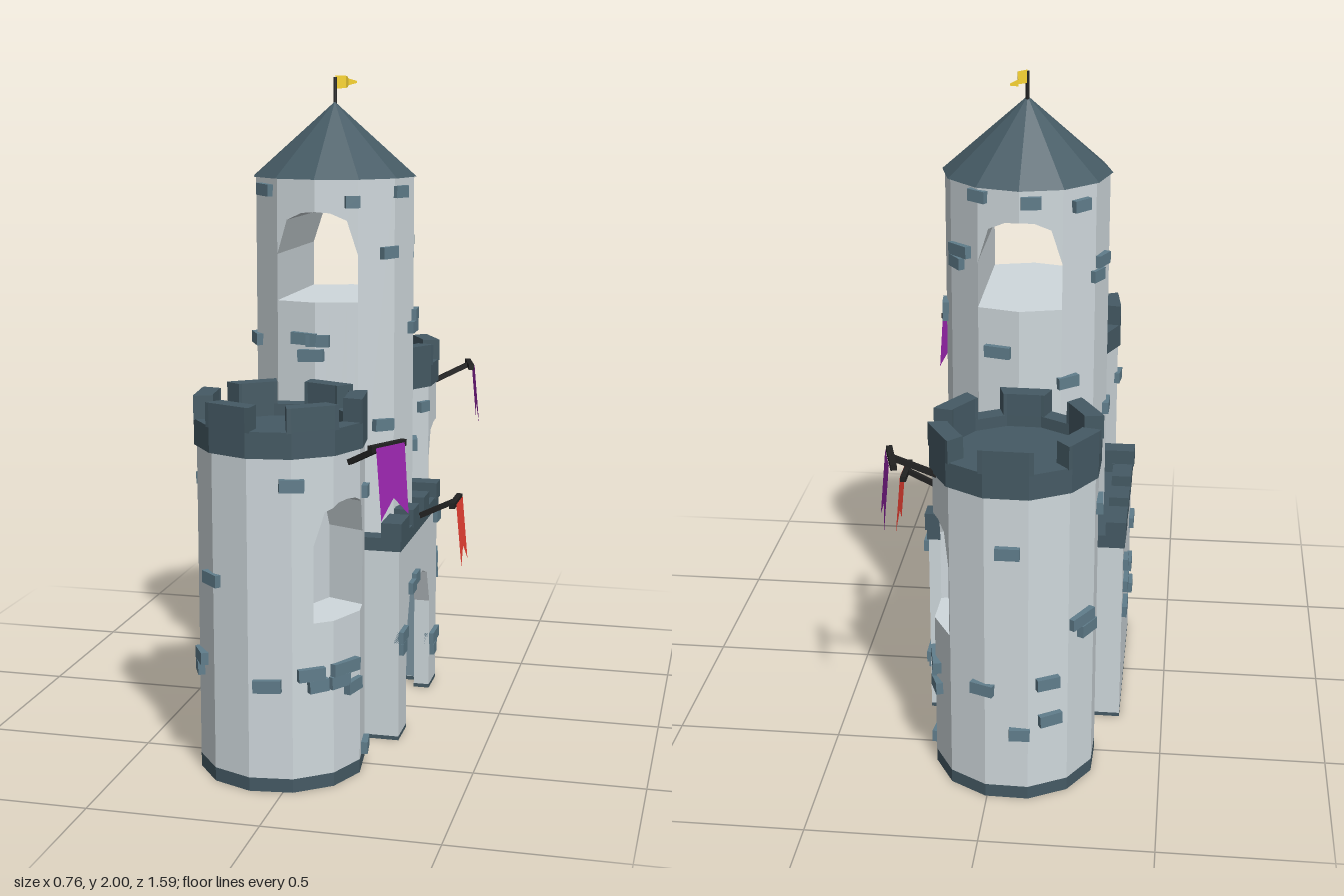
import * as THREE from 'three';

const mat = (color) => new THREE.MeshStandardMaterial({ color, flatShading: true, side: THREE.DoubleSide });
const STONE = mat(0xcfd8dc), DARK = mat(0x455a64), BRICK = mat(0x607d8b), INSIDE = mat(0x78909c);
const POLE = mat(0x212121), PURPLE = mat(0x9c27b0), RED = mat(0xf44336), YELLOW = mat(0xfdd835);
const RAD = Math.PI / 180;
// Half arch outline: fraction of half width, fraction of arch height
const ARCH = [[0, 1], [0.35, 0.97], [0.74, 0.8], [1, 0]];

function add(parent, name, geometry, material, x = 0, y = 0, z = 0) {
  const mesh = new THREE.Mesh(geometry, material);
  mesh.name = name;
  mesh.position.set(x, y, z);
  parent.add(mesh);
  return mesh;
}

// Plan shape raised along y; plan points are [x, z]
function slab(points, height, holePoints) {
  const toV = (p) => new THREE.Vector2(p[0], -p[1]);
  const shape = new THREE.Shape(points.map(toV));
  if (holePoints) shape.holes.push(new THREE.Path(holePoints.map(toV)));
  return new THREE.ExtrudeGeometry(shape, { depth: height, bevelEnabled: false }).rotateX(-Math.PI / 2);
}

const ringPoint = (r, deg) => [r * Math.sin(deg * RAD), r * Math.cos(deg * RAD)];
const polygon = (r, phase) => Array.from({ length: 12 }, (_, i) => ringPoint(r, phase + i * 30));

// Twelve-sided wall with an arched opening facing local +z (and -z if through)
function wallGeometry(r, phase, y0, y1, { w, sill, spring, top, inner, through }) {
  const archY = (x) => {
    const f = Math.min(Math.abs(x) / w, 1);
    const i = f <= ARCH[1][0] ? 0 : f <= ARCH[2][0] ? 1 : 2;
    const [a, b] = [ARCH[i], ARCH[i + 1]];
    return spring + (top - spring) * THREE.MathUtils.mapLinear(f, a[0], b[0], a[1], b[1]);
  };
  const cuts = ARCH.flatMap(([f]) => (f ? [-f * w, f * w] : [0]));
  const corners = polygon(r, phase), outline = [];
  const opens = (z) => z > 0.01 || (through && z < -0.01);
  corners.forEach((a, i) => {
    const b = corners[(i + 1) % 12];
    outline.push(a);
    if (!opens(a[1] + b[1])) return;
    cuts.map((c) => (c - a[0]) / (b[0] - a[0])).filter((t) => t > 1e-4 && t < 1 - 1e-4).sort((p, q) => p - q)
      .forEach((t) => outline.push([a[0] + (b[0] - a[0]) * t, a[1] + (b[1] - a[1]) * t]));
  });
  const pos = [];
  const quad = (a, b, c, d) => pos.push(...a, ...b, ...c, ...a, ...c, ...d);
  const at = (p, y) => [p[0], y, p[1]];
  const column = (a, b, la, lb, ha, hb) => quad(at(a, la), at(b, lb), at(b, hb), at(a, ha));
  const inHole = (p) => Math.abs(p[0]) <= w + 1e-5 && opens(p[1]);
  outline.forEach((a, i) => {
    const b = outline[(i + 1) % outline.length];
    if (!inHole(a) || !inHole(b)) return column(a, b, y0, y0, y1, y1);
    const ha = archY(a[0]), hb = archY(b[0]), ia = [a[0], inner], ib = [b[0], inner];
    column(a, b, y0, y0, sill, sill);
    column(a, b, ha, hb, y1, y1);
    quad(at(a, sill), at(b, sill), at(ib, sill), at(ia, sill));
    quad(at(ia, ha), at(ib, hb), at(b, hb), at(a, ha));
    if (!through) column(ia, ib, sill, sill, ha, hb);
    if (Math.abs(Math.abs(a[0]) - w) < 1e-5) column(a, ia, sill, sill, ha, ha);
    if (Math.abs(Math.abs(b[0]) - w) < 1e-5) column(ib, b, sill, sill, hb, hb);
  });
  const g = new THREE.BufferGeometry();
  g.setAttribute('position', new THREE.Float32BufferAttribute(pos, 3));
  g.computeVertexNormals();
  return g;
}

// Raised bricks round a tower: [degrees from +x towards +z, y, width]
function towerBricks(parent, cx, cz, r, list) {
  list.forEach(([deg, y, w], i) => {
    const a = deg * RAD, d = r * 0.98;
    const b = add(parent, 'brick', new THREE.BoxGeometry(w, 0.036, 0.03), BRICK, cx + d * Math.cos(a), y, cz + d * Math.sin(a));
    b.rotation.set(0, Math.PI / 2 - a, ((i % 3) - 1) * 0.04);
  });
}

// Bracket pole, crossbar and swallow-tailed cloth reaching out along local +x
function banner(parent, material, x, y, z, deg) {
  const g = new THREE.Group();
  g.name = 'banner';
  g.position.set(x, y, z);
  g.rotation.y = -deg * RAD;
  parent.add(g);
  add(g, 'bannerPole', new THREE.BoxGeometry(0.16, 0.016, 0.016), POLE, 0.06, 0.03, 0).rotation.z = 0.45;
  add(g, 'bannerCrossbar', new THREE.BoxGeometry(0.018, 0.018, 0.14), POLE, 0.13, 0.062, 0);
  const outline = [[-0.058, 0], [0.058, 0], [0.056, -0.2], [0, -0.145], [-0.056, -0.2]];
  const cloth = new THREE.ShapeGeometry(new THREE.Shape(outline.map((p) => new THREE.Vector2(...p))));
  cloth.rotateY(Math.PI / 2);
  const p = cloth.attributes.position;
  for (let i = 0; i < p.count; i++) p.setX(i, -p.getY(i) * 0.09);
  add(g, 'bannerCloth', cloth, material, 0.142, 0.065, 0);
}

function sideTower(root, name, x, z, deg, phase) {
  const g = new THREE.Group();
  g.name = name;
  g.position.set(x, 0, z);
  g.rotation.y = Math.PI / 2 - deg * RAD;
  root.add(g);
  add(g, 'towerWall', wallGeometry(0.242, phase, 0.04, 0.98,
    { w: 0.115, sill: 0.49, spring: 0.71, top: 0.83, inner: 0.085 }), STONE);
  const base = new THREE.CylinderGeometry(0.242, 0.242, 0.04, 12);
  add(g, 'towerBase', base, [DARK, DARK, STONE], 0, 0.02, 0).rotation.y = phase * RAD;
  // Crown: ring, floor and alternating merlons
  add(g, 'crownRing', slab(polygon(0.25, phase), 0.075, polygon(0.195, phase)), DARK, 0, 0.965, 0);
  add(g, 'crownFloor', slab(polygon(0.2, phase), 0.03), DARK, 0, 0.975, 0);
  for (let i = 0; i < 6; i++) {
    const a = phase + i * 60;
    const plan = [ringPoint(0.252, a - 3), ringPoint(0.25, a), ringPoint(0.25, a + 30), ringPoint(0.252, a + 33),
      ringPoint(0.195, a + 33), ringPoint(0.195, a + 30), ringPoint(0.195, a), ringPoint(0.195, a - 3)];
    add(g, 'merlon', slab(plan, 0.07), DARK, 0, 1.037, 0);
  }
}

function gatehouse(root) {
  const g = new THREE.Group();
  g.name = 'gatehouse';
  g.position.set(-0.065, 0, 0);
  root.add(g);
  const R = 0.3, T = 0.05, D = 0.185, foot = 0.012, H = 0.6;
  // Front wall with arched doorway, facing +x
  const arch = [...ARCH].reverse().map(([f, h]) => [f * D, 0.3 + 0.14 * h]);
  const left = arch.slice(0, -1).reverse().map(([u, y]) => [-u, y]);
  const outline = [[-R, foot], [-R, H], [R, H], [R, foot], [D, foot], ...arch, ...left, [-D, foot]];
  const front = new THREE.ExtrudeGeometry(new THREE.Shape(outline.map((p) => new THREE.Vector2(...p))), { depth: T, bevelEnabled: false });
  add(g, 'doorWall', front.rotateY(Math.PI / 2), STONE, R - T, 0, 0);
  add(g, 'backWall', new THREE.BoxGeometry(T, H - foot, 2 * R), STONE, -R + T / 2, (H + foot) / 2, 0);
  for (const s of [-1, 1]) add(g, 'sideWall', new THREE.BoxGeometry(2 * R - 2 * T, H - foot, T), STONE, 0, (H + foot) / 2, s * (R - T / 2));
  add(g, 'footing', slab([[R, D], [R, R], [-R, R], [-R, -R], [R, -R], [R, -D], [R - T, -D], [R - T, T - R],
    [T - R, T - R], [T - R, R - T], [R - T, R - T], [R - T, D]], foot), DARK);
  // Inner lining, open below and at the door
  const I = R - T - 0.003;
  add(g, 'innerBack', new THREE.BoxGeometry(0.004, 0.56, 2 * I), INSIDE, -I, 0.295, 0);
  add(g, 'innerCeiling', new THREE.BoxGeometry(2 * I, 0.01, 2 * I), INSIDE, 0, 0.57, 0);
  for (const s of [-1, 1]) add(g, 'innerSide', new THREE.BoxGeometry(2 * I, 0.56, 0.004), INSIDE, 0, 0.295, s * I);
  // Roof and battlements
  add(g, 'roofFloor', new THREE.BoxGeometry(0.58, 0.02, 0.58), DARK, 0, 0.595, 0);
  const sq = (r) => [[-r, -r], [r, -r], [r, r], [-r, r]];
  add(g, 'battlementRing', slab(sq(0.305), 0.04, sq(0.245)), DARK, 0, 0.595, 0);
  for (let side = 0; side < 4; side++) {
    const edge = new THREE.Group();
    edge.name = 'battlementSide';
    edge.rotation.y = side * Math.PI / 2;
    g.add(edge);
    for (const u of [-0.25, -0.083, 0.083]) add(edge, 'merlon', new THREE.BoxGeometry(u < -0.2 ? 0.12 : 0.09, 0.055, 0.062), DARK, u, 0.655, 0.277);
  }
  // Bricks on the door wall and back wall: [z, y, width]
  const wallBricks = (x, list) => list.forEach(([z, y, w]) => add(g, 'brick', new THREE.BoxGeometry(0.03, 0.036, w), BRICK, x, y, z));
  wallBricks(R, [[0.26, 0.325, 0.08], [0.268, 0.288, 0.06], [0.13, 0.44, 0.06], [0.075, 0.455, 0.06],
    [-0.235, 0.17, 0.1], [-0.22, 0.13, 0.05], [-0.27, 0.57, 0.06]]);
  wallBricks(-R, [[-0.2, 0.43, 0.08], [-0.23, 0.36, 0.09], [0.1, 0.35, 0.08], [0.22, 0.45, 0.08], [0.23, 0.2, 0.07], [-0.24, 0.52, 0.06]]);
}

function keep(root) {
  const g = new THREE.Group();
  g.name = 'keep';
  g.position.set(-0.04, 0, -0.012);
  root.add(g);
  add(g, 'keepWall', wallGeometry(0.25, 0, 0.59, 1.7,
    { w: 0.125, sill: 1.33, spring: 1.47, top: 1.6, inner: 0, through: true }), STONE);
  add(g, 'keepRoof', new THREE.CylinderGeometry(0, 0.258, 0.225, 12), DARK, 0, 1.808, 0);
  add(g, 'flagPole', new THREE.CylinderGeometry(0.006, 0.006, 0.1, 6), POLE, 0, 1.945, -0.005);
  // Tapered flag with a ripple, blowing backwards
  const plane = new THREE.PlaneGeometry(0.135, 0.04, 4, 1).translate(0.0675, 0, 0);
  const p = plane.attributes.position;
  for (let i = 0; i < p.count; i++) {
    const t = p.getX(i) / 0.135;
    p.setY(i, p.getY(i) * (1 - 0.85 * t * t));
    p.setZ(i, 0.016 * Math.sin(t * 6));
  }
  add(g, 'flag', plane, YELLOW, 0, 1.98, -0.01).rotation.y = 72 * RAD;
}

export function createModel() {
  const root = new THREE.Group();
  root.name = 'castle';
  gatehouse(root);
  keep(root);
  sideTower(root, 'frontTower', -0.062, 0.537, 23, 15);
  sideTower(root, 'backTower', -0.062, -0.545, -14, 0);
  towerBricks(root, -0.062, 0.537, 0.242, [[27, 0.345, 0.11], [33, 0.31, 0.07], [18, 0.28, 0.07], [-6, 0.83, 0.05], [-9, 0.06, 0.07],
    [85, 0.315, 0.08], [68, 0.89, 0.07], [55, 0.345, 0.08], [50, 0.31, 0.06], [130, 0.6, 0.07], [150, 0.35, 0.08],
    [156, 0.31, 0.07], [185, 0.85, 0.07], [215, 0.5, 0.07], [-50, 0.7, 0.06]]);
  towerBricks(root, -0.062, -0.545, 0.242, [[-12, 0.345, 0.11], [-9, 0.31, 0.06], [-20, 0.28, 0.07], [46, 0.44, 0.07], [24, 0.9, 0.05],
    [5, 0.055, 0.08], [-72, 0.36, 0.07], [177, 0.85, 0.08], [213, 0.55, 0.1], [206, 0.51, 0.08], [242, 0.38, 0.07],
    [240, 0.26, 0.07], [262, 0.22, 0.06], [270, 0.8, 0.07], [140, 0.6, 0.07]]);
  towerBricks(root, -0.04, -0.012, 0.25, [[98, 1.22, 0.08], [88, 1.215, 0.07], [93, 1.17, 0.08], [134, 1.66, 0.07], [64, 1.63, 0.045],
    [35, 1.475, 0.06], [150, 1.2, 0.07], [24, 1.655, 0.06], [-42, 1.49, 0.09], [-38, 1.45, 0.06], [-5, 1.27, 0.07], [1, 1.235, 0.07],
    [40, 0.95, 0.07], [-75, 1.2, 0.08], [-15, 0.85, 0.06], [200, 1.45, 0.08], [207, 1.41, 0.06], [235, 1.1, 0.07],
    [180, 0.95, 0.08], [262, 1.66, 0.06], [225, 1.64, 0.06], [-60, 1.67, 0.06]]);
  banner(root, PURPLE, 0.17, 0.94, 0.63, 30);
  banner(root, PURPLE, 0.155, 0.955, -0.62, -15);
  banner(root, RED, 0.222, 0.625, 0, 0);
  return root;
}
